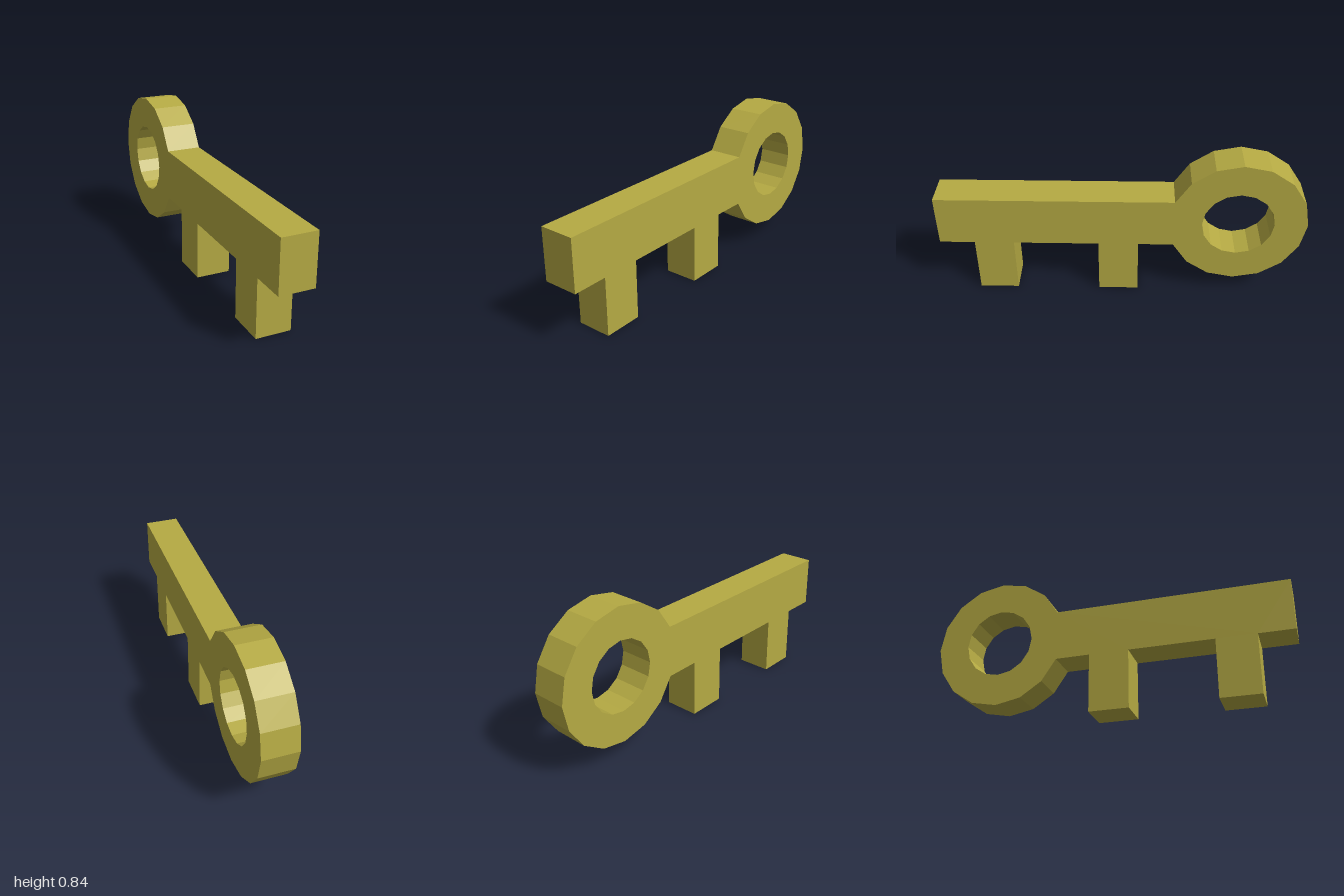
import * as THREE from 'three';

const SIDES = 16;
const WIDTH = 0.192;
const RING = { z: -0.627, y: 0.467, outer: 0.373, inner: 0.195 };
const SHAFT_TOP = 0.609;
const SHAFT_BOTTOM = 0.325;
const TEETH = [[-0.092, 0.127], [0.592, 0.808]]; // z ranges of the teeth

// Point i of a 16-sided ring around the bow's centre, as (z, y)
function ringPoint(radius, i) {
  const a = (i / SIDES) * Math.PI * 2;
  return new THREE.Vector2(RING.z + Math.cos(a) * radius, RING.y + Math.sin(a) * radius);
}

export function createModel() {
  const brass = new THREE.MeshStandardMaterial({ color: 0xb5aa43 });
  brass.name = 'brass';

  // Bow: the ring, open where the shaft joins it
  const outline = [];
  for (let i = 1; i < SIDES; i++) outline.push(ringPoint(RING.outer, i));

  // Teeth along the underside of the shaft
  for (const [back, front] of TEETH) {
    outline.push(
      new THREE.Vector2(back, SHAFT_BOTTOM),
      new THREE.Vector2(back, 0),
      new THREE.Vector2(front, 0),
      new THREE.Vector2(front, SHAFT_BOTTOM)
    );
  }

  // Front end of the shaft
  outline.push(new THREE.Vector2(1, SHAFT_BOTTOM), new THREE.Vector2(1, SHAFT_TOP));

  // Round hole through the bow
  const shape = new THREE.Shape(outline);
  const hole = [];
  for (let i = 0; i < SIDES; i++) hole.push(ringPoint(RING.inner, i));
  shape.holes.push(new THREE.Path(hole));

  // Extrude across the width, then turn the profile into the z-y plane
  const geometry = new THREE.ExtrudeGeometry(shape, { depth: WIDTH, bevelEnabled: false });
  geometry.translate(0, 0, -WIDTH / 2);
  geometry.rotateY(-Math.PI / 2);

  const key = new THREE.Mesh(geometry, brass);
  key.name = 'keyBody';

  const group = new THREE.Group();
  group.name = 'key';
  group.add(key);
  return group;
}
